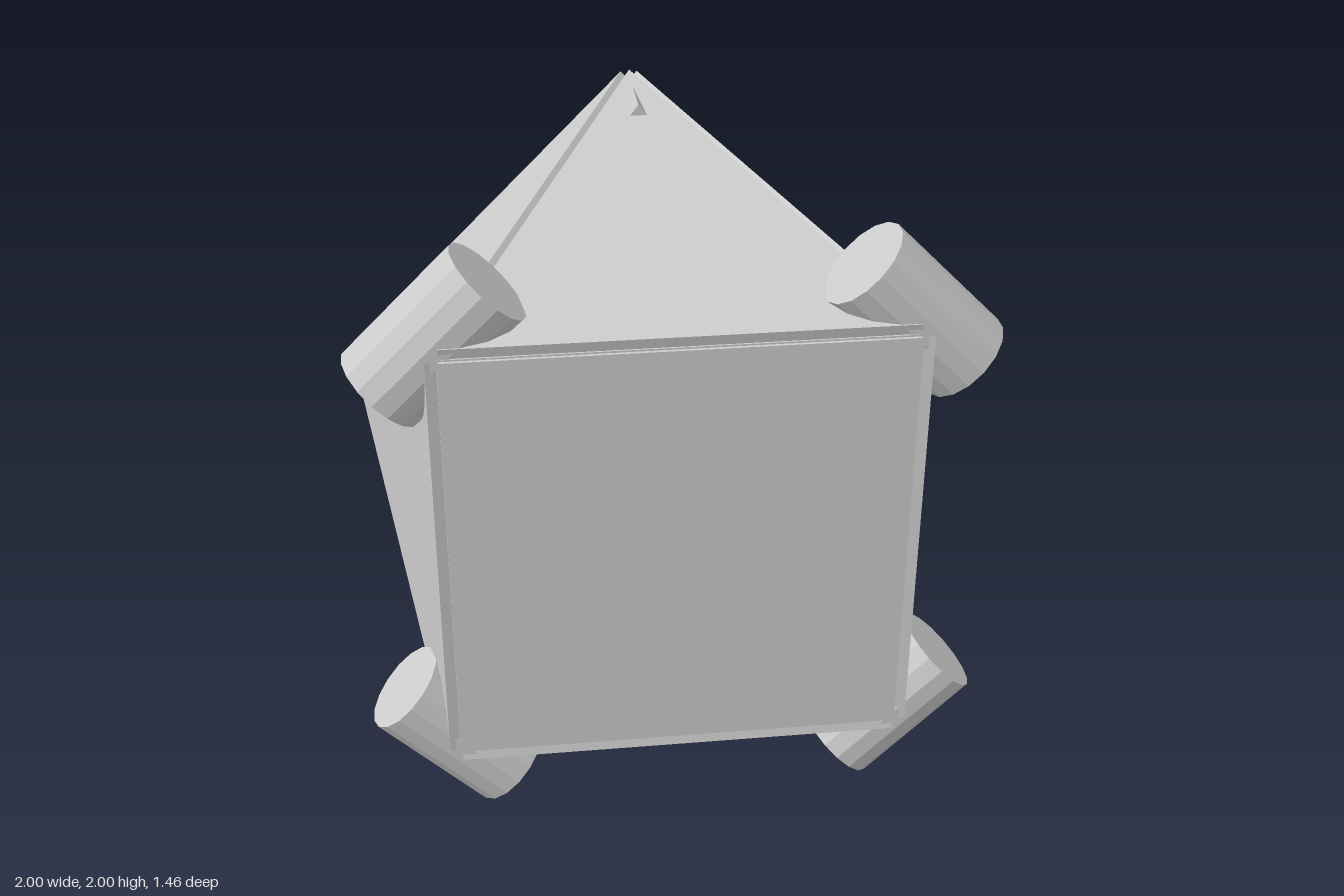
import * as THREE from 'three';
import { ConvexGeometry } from 'three/addons/geometries/ConvexGeometry.js';

const material = new THREE.MeshStandardMaterial({ color: 0xcccccc, flatShading: true });
const Z = 0.72;      // half depth of the core
const R = 0.97;      // corner radius of the front and back squares
const T = 0.033;     // side panel thickness

const v = (x, y, z) => new THREE.Vector3(x, y, z);
const polar = (angle, z, r = R) => v(r * Math.cos(angle), r * Math.sin(angle), z);

function hull(name, points) {
  const mesh = new THREE.Mesh(new ConvexGeometry(points), material);
  mesh.name = name;
  return mesh;
}

// flat plate: a face polygon, slightly shrunk, thickened along its outward normal
function plate(name, corners, thickness) {
  const centre = corners.reduce((sum, p) => sum.add(p), v(0, 0, 0)).divideScalar(corners.length);
  const inner = corners.map(p => p.clone().lerp(centre, 0.008));
  const normal = corners[1].clone().sub(corners[0]).cross(corners[2].clone().sub(corners[0])).normalize();
  if (normal.dot(centre) < 0) normal.negate();
  const outer = inner.map(p => p.clone().addScaledVector(normal, thickness));
  return hull(name, [...inner, ...outer]);
}

export function createModel() {
  const model = new THREE.Group();
  model.name = 'antiprismPod';
  const pod = new THREE.Group();
  pod.name = 'pod';
  pod.position.y = 1;
  model.add(pod);

  // core: front square upright, back square turned by 45 degrees
  const front = [], back = [];
  for (let i = 0; i < 4; i++) {
    front.push(polar((i + 0.5) * Math.PI / 2, Z));
    back.push(polar(i * Math.PI / 2, -Z));
  }
  pod.add(hull('core', [...front, ...back]));
  pod.add(plate('frontPanel', front, 0.01));
  pod.add(plate('backPanel', back, 0.01));

  // eight triangular side panels, alternately pointing back and forward
  for (let i = 0; i < 8; i++) {
    const angle = i * Math.PI / 4;
    const s = i % 2 ? 1 : -1; // end at which the panel comes to a point
    const apex = polar(angle, s * Z);
    const base = [-1, 1].map(k => polar(angle + k * Math.PI / 4, -s * Z));
    pod.add(plate('sidePanel', [apex, ...base], T));

    // small wedge marker near the point of the panel
    const wedge = hull('wedgeMarker', [
      v(0.935, -0.035, s * 0.42), v(0.935, 0.035, s * 0.42),
      v(0.98, 0, s * 0.42), v(0.98, 0, s * 0.6),
    ]);
    wedge.rotation.z = angle;
    pod.add(wedge);

    // thruster barrel across each front corner
    if (s > 0) {
      const barrel = new THREE.Mesh(
        new THREE.CylinderGeometry(0.147, 0.147, 0.45, 16, 1, false, Math.PI / 16), material);
      barrel.name = 'cornerBarrel';
      barrel.position.copy(polar(angle, 0.575, 0.976));
      barrel.rotation.z = angle;
      pod.add(barrel);
    }
  }
  return model;
}
